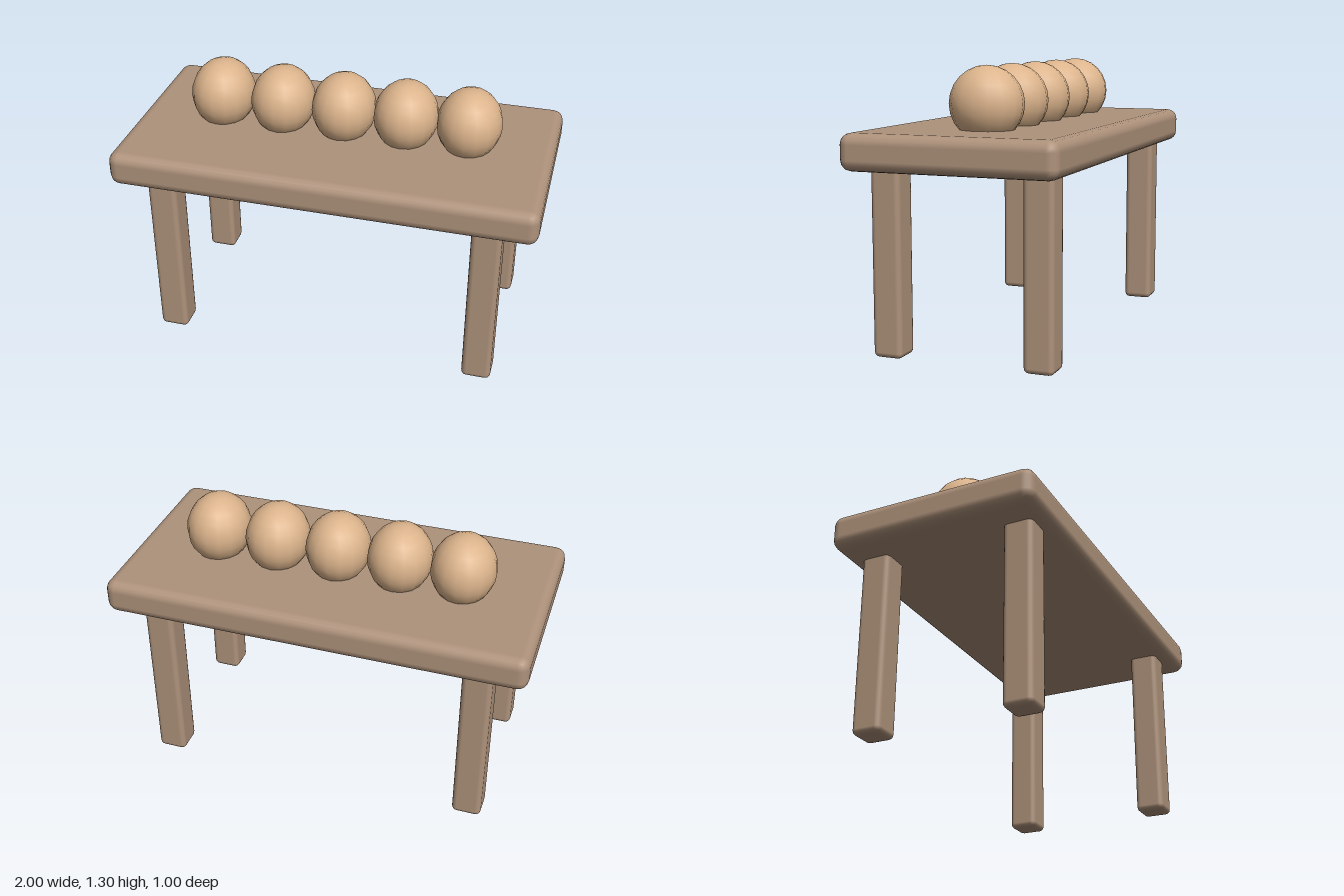
import * as THREE from 'three';
import { RoundedBoxGeometry } from 'three/addons/geometries/RoundedBoxGeometry.js';

const wood = new THREE.MeshStandardMaterial({ color: 0xae927b });
const dough = new THREE.MeshStandardMaterial({ color: 0xdcb48c });

function add(parent, name, geometry, material, x, y, z) {
  const mesh = new THREE.Mesh(geometry, material);
  mesh.name = name;
  mesh.position.set(x, y, z);
  parent.add(mesh);
  return mesh;
}

export function createModel() {
  const model = new THREE.Group();
  model.name = 'tableWithBalls';

  // Thick slab with softly rounded edges
  add(model, 'tableTop', new RoundedBoxGeometry(2, 0.167, 1, 2, 0.05), wood, 0, 0.933, 0);

  // Four square legs, tops sunk into the slab
  const legGeometry = new RoundedBoxGeometry(0.14, 0.88, 0.14, 2, 0.025);
  for (const [side, x] of [['Left', 0.77], ['Right', -0.77]]) {
    for (const [end, z] of [['front', 0.358], ['back', -0.358]]) {
      add(model, `${end}${side}Leg`, legGeometry, wood, x, 0.44, z);
    }
  }

  // Row of five balls, slightly narrowed where they touch
  const balls = new THREE.Group();
  balls.name = 'balls';
  const ballGeometry = new THREE.SphereGeometry(0.17, 16, 12);
  for (let i = -2; i <= 2; i++) {
    add(balls, `ball${i + 3}`, ballGeometry, dough, i * 0.3, 1.13, -0.03).scale.x = 0.9;
  }
  model.add(balls);

  return model;
}
